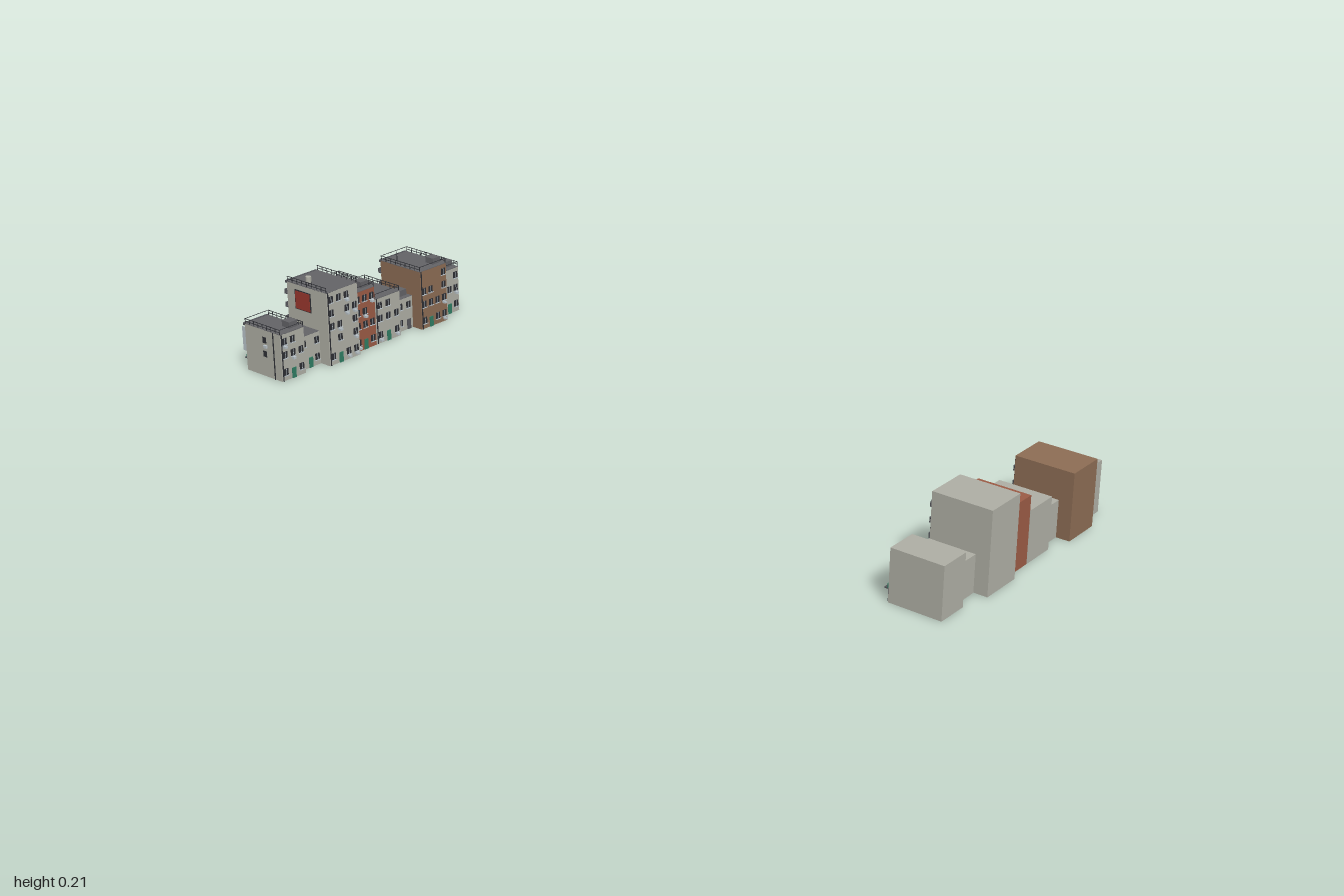
import * as THREE from 'three';

const mat = (name, color) => Object.assign(new THREE.MeshStandardMaterial({ color }), { name });

export function createModel() {
  const M = {
    wall: mat('concrete wall', 0xafafa5), brick: mat('red brick', 0x9b5b45),
    brown: mat('brown brick', 0x8d6d54), roof: mat('roof grey', 0x636367),
    dark: mat('dark glass and iron', 0x2e2f34), shop: mat('shopfront grey', 0x55565b),
    yellow: mat('yellow sign', 0xc7a02a), teal: mat('green sign', 0x2f7d63),
    white: mat('pale trim', 0xb9c3c9), sign: mat('red sign', 0x9a372e),
  };

  // Buildings: x range, storeys above the shop, depth, wall, sign, rooftop pieces
  const buildings = [
    { x0: -0.306, x1: -0.231, n: 2, d: 0.122, wall: 'wall', sign: 'teal', canopy: true, hut: -0.2495, rail: true },
    { x0: -0.231, x1: -0.168, n: 1, d: 0.106, wall: 'wall', sign: 'shop', tank: -0.216 },
    { x0: -0.167, x1: -0.067, n: 4, d: 0.137, wall: 'wall', sign: 'shop', balcony: true, tank: -0.1525, board: true },
    { x0: -0.067, x1: 0.003, n: 3, d: 0.122, wall: 'brick', sign: 'shop', canopy: true, hut: -0.0145, rail: true, mast: -0.06 },
    { x0: 0.004, x1: 0.087, n: 2, d: 0.122, wall: 'wall', sign: 'white', tank: 0.0195, rail: true },
    { x0: 0.088, x1: 0.145, n: 1, d: 0.106, wall: 'wall', sign: 'sign', hut: 0.1275 },
    { x0: 0.145, x1: 0.237, n: 3, d: 0.137, wall: 'brown', sign: 'shop', canopy: true, balcony: true, hut: 0.2185, rail: true, mast: 0.153 },
    { x0: 0.237, x1: 0.305, n: 2, d: 0.112, wall: 'wall', sign: 'yellow', canopy: true, hut: 0.2865, rail: true },
  ];
  const GROUND = 0.05, FLOOR = 0.034;

  let seed = 7;
  const rand = () => (seed = (seed * 16807) % 2147483647) / 2147483647;

  const box = (g, name, m, x0, x1, y0, y1, z0, z1) => {
    const mesh = new THREE.Mesh(new THREE.BoxGeometry(x1 - x0, y1 - y0, z1 - z0), M[m]);
    mesh.position.set((x0 + x1) / 2, (y0 + y1) / 2, (z0 + z1) / 2);
    mesh.name = name;
    g.add(mesh);
  };

  // Shops, signs, windows and balconies on the street side, which faces -z
  function streetFront(g, b, detailed) {
    const { x0, x1 } = b, w = x1 - x0;
    box(g, 'shopfront', 'shop', x0 + 0.002, x1 - 0.002, 0.001, 0.03, -0.002, 0.002);
    box(g, 'shopSign', b.sign, x0 + 0.003, x1 - 0.003, 0.029, 0.038, -0.005, 0.001);
    if (b.canopy) box(g, 'canopy', 'shop', x0 + 0.004, x1 - 0.004, 0.026, 0.029, -0.012, 0);
    const cols = Math.round(w / 0.025);
    if (detailed) for (let c = 0; c < cols; c++) {
      const cx = x0 + (c + 0.5) * w / cols;
      box(g, 'shopWindow', c % 3 === 1 ? 'white' : 'dark', cx - 0.009, cx + 0.009, 0.002, 0.026, -0.004, 0);
    }
    for (let f = 0; f < b.n; f++) {
      const y = GROUND + f * FLOOR;
      if (b.balcony) {
        box(g, 'loggia', 'dark', x0 + 0.003, x1 - 0.003, y + 0.004, y + 0.025, -0.002, 0.001);
        const out = detailed ? -0.014 : -0.005;
        box(g, 'balconySlab', 'shop', x0 + 0.003, x1 - 0.003, y - 0.002, y + 0.001, out, 0);
        box(g, 'balconyFront', 'shop', x0 + 0.003, x1 - 0.003, y + 0.001, y + 0.01, out, out + 0.0015);
        if (detailed) for (let c = 0; c <= cols; c++) {
          const px = x0 + 0.004 + c * (w - 0.008) / cols;
          box(g, 'balconyPost', b.wall, px - 0.001, px + 0.001, y, y + 0.03, -0.004, 0);
        }
        continue;
      }
      for (let c = 0; c < cols; c++) windowAt(g, x0 + (c + 0.5) * w / cols, y + 0.015, 0, -1, detailed);
    }
    if (detailed && !b.balcony) {
      const px = x0 + 0.006, top = GROUND + b.n * FLOOR;
      box(g, 'bladeSign', b.n > 2 ? 'sign' : 'white', px - 0.001, px + 0.001, 0.045, top - 0.012, -0.017, 0);
    }
  }

  // Window plate on a wall at z facing dir; framed ones may carry an air conditioner
  function windowAt(g, x, y, z, dir, framed) {
    const plate = (name, m, hw, y0, y1, t) =>
      box(g, name, m, x - hw, x + hw, y + y0, y + y1, Math.min(z, z + dir * t), Math.max(z, z + dir * t));
    plate('window', 'dark', 0.0065, -0.008, 0.008, 0.002);
    if (!framed) return;
    plate('windowSill', 'white', 0.008, -0.0095, -0.008, 0.004);
    plate('windowBar', 'white', 0.0006, -0.008, 0.008, 0.0026);
    if (rand() < 0.3) plate('airConditioner', 'white', 0.004, -0.016, -0.0105, 0.008);
  }

  // Rear wall windows, doors, drain pipes and side wall fittings
  function rearAndSides(g, b, h) {
    const { x0, x1, d } = b, w = x1 - x0, cols = Math.round(w / 0.025);
    for (let f = 0; f <= b.n; f++) for (let c = 0; c < cols; c++) {
      const x = x0 + (c + 0.5) * w / cols;
      if (f === 0 && c === 1) box(g, 'rearDoor', cols > 2 ? 'teal' : 'shop', x - 0.006, x + 0.006, 0, 0.026, d, d + 0.002);
      else if (rand() < 0.85) windowAt(g, x, f ? GROUND + (f - 1) * FLOOR + 0.015 : 0.022, d, 1, true);
    }
    box(g, 'drainPipe', 'dark', x0 + 0.003, x0 + 0.005, 0, h, d, d + 0.002);
    if (b.x0 < -0.3 || b.x1 > 0.3) {
      const s = Math.sign(x0), wx = s < 0 ? x0 : x1;
      const side = (name, m, y0, y1, z0, z1, t) =>
        box(g, name, m, Math.min(wx, wx + s * t), Math.max(wx, wx + s * t), y0, y1, z0, z1);
      side('sidePipe', 'dark', 0, h, d * 0.8, d * 0.8 + 0.002, 0.002);
      side('sideAirConditioner', 'white', 0.074, 0.081, d * 0.55, d * 0.55 + 0.009, 0.005);
      side('sideWindow', 'dark', 0.085, 0.1, d * 0.5, d * 0.5 + 0.012, 0.001);
      side('sideWindow', 'dark', 0.05, 0.065, d * 0.5, d * 0.5 + 0.012, 0.001);
    }
    if (b.board) {
      box(g, 'billboardFrame', 'dark', x0 - 0.002, x0, 0.123, 0.172, 0.028, 0.082);
      box(g, 'billboard', 'sign', x0 - 0.003, x0 - 0.001, 0.125, 0.17, 0.03, 0.08);
    }
  }

  // Roof slab, railings, stair hut, water tank and mast
  function roofTop(g, b, h) {
    const { x0, x1, d } = b, r = 0.0006;
    box(g, 'roofSlab', 'roof', x0, x1, h - 0.001, h + 0.0006, 0, d);
    box(g, 'cornice', 'shop', x0, x1, h - 0.005, h + 0.001, -0.006, 0);
    if (b.n > 1) for (const x of [x0 + 0.001, x1 - 0.001]) {
      for (const y of [0.006, 0.0125]) box(g, 'sideRail', 'dark', x - r, x + r, h + y - r, h + y + r, 0, d);
      for (let i = 0; i <= 8; i++) {
        const z = 0.001 + i * (d - 0.002) / 8;
        box(g, 'railPost', 'dark', x - r, x + r, h, h + 0.0125, z - r, z + r);
      }
    }
    if (b.rail) for (const z of [0.001, d - 0.001])
      box(g, 'roofRail', 'dark', x0, x1, h + 0.012, h + 0.013, z - r, z + r);
    if (b.hut !== undefined)
      box(g, 'stairHut', 'roof', b.hut - 0.0125, b.hut + 0.0125, h, h + 0.016, d - 0.04, d - 0.014);
    if (b.tank !== undefined) {
      const tz = d * 0.45;
      const tank = new THREE.Mesh(new THREE.CylinderGeometry(0.0072, 0.0072, 0.015, 12), M.wall);
      tank.name = 'waterTank';
      tank.position.set(b.tank, h + 0.0145, tz);
      g.add(tank);
      for (const i of [-1, 1]) for (const j of [-1, 1]) {
        const lx = b.tank + i * 0.005, lz = tz + j * 0.005;
        box(g, 'tankLeg', 'dark', lx - r, lx + r, h, h + 0.008, lz - r, lz + r);
      }
    }
    if (b.mast !== undefined) {
      box(g, 'antenna', 'dark', b.mast - r, b.mast + r, h, h + 0.033, 0.05, 0.05 + 2 * r);
      box(g, 'antennaArm', 'dark', b.mast - 0.005, b.mast + 0.005, h + 0.027, h + 0.028, 0.05, 0.0512);
    }
  }

  // Two rows with the same plan: a detailed one and a plain one
  const model = new THREE.Group();
  model.name = 'streetRows';
  for (const detailed of [true, false]) {
    const row = new THREE.Group();
    row.name = detailed ? 'detailedRow' : 'plainRow';
    row.position.z = detailed ? -0.979 : 0.863;
    buildings.forEach((b, i) => {
      const g = new THREE.Group(), h = GROUND + b.n * FLOOR;
      g.name = `building${i + 1}`;
      box(g, 'walls', b.wall, b.x0, b.x1, 0, h, 0, b.d);
      streetFront(g, b, detailed);
      if (detailed) {
        rearAndSides(g, b, h);
        roofTop(g, b, h);
      }
      row.add(g);
    });
    model.add(row);
  }
  return model;
}
